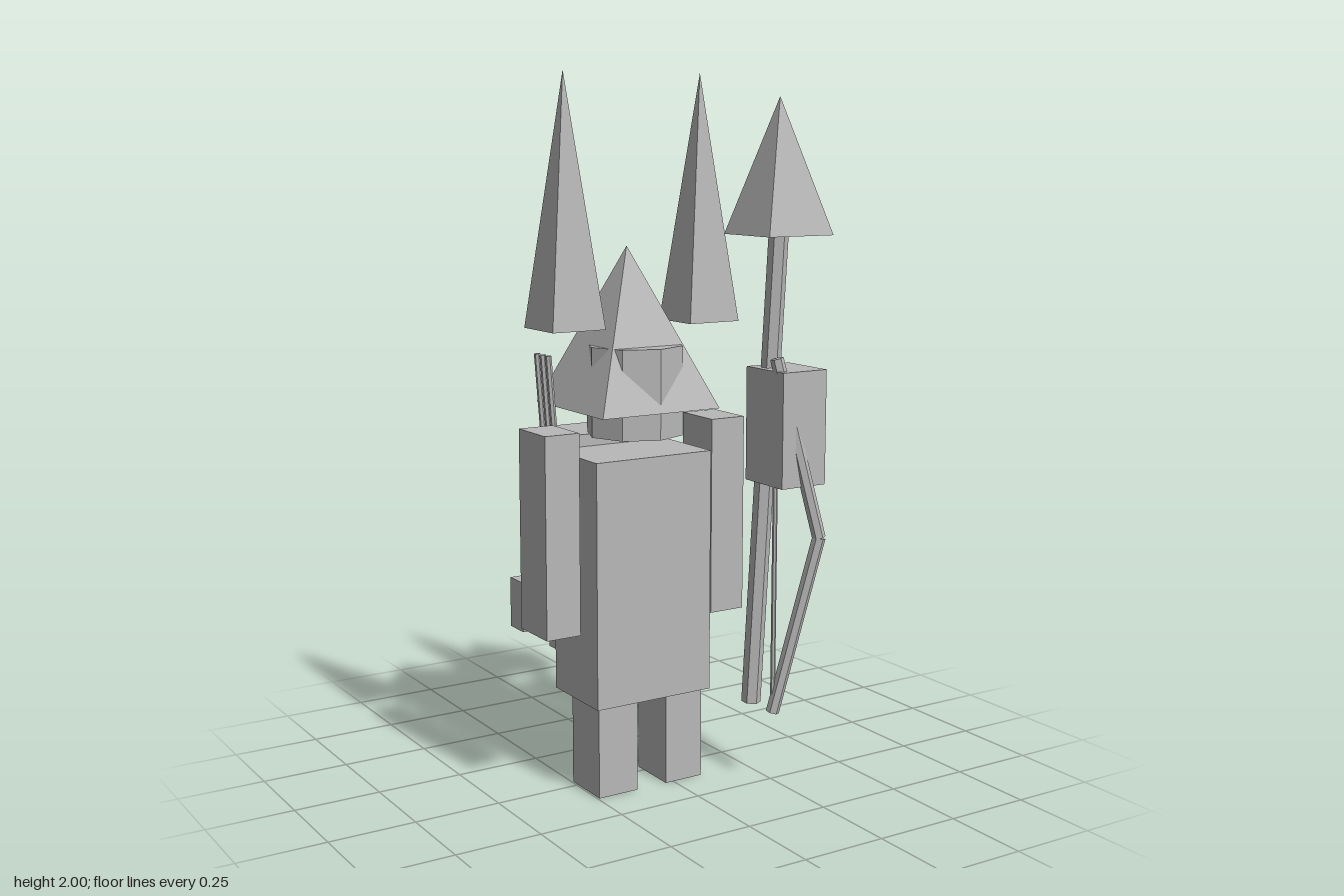
import * as THREE from 'three';

const stone = new THREE.MeshStandardMaterial({ color: 0xb8b8b8 });
stone.name = 'plain grey';

export function createModel() {
  const model = new THREE.Group();
  model.name = 'warrior';

  // Adds a mesh with hard facets
  function add(name, geometry) {
    const g = geometry.index ? geometry.toNonIndexed() : geometry;
    g.computeVertexNormals();
    const mesh = new THREE.Mesh(g, stone);
    mesh.name = name;
    model.add(mesh);
    return mesh;
  }

  // Box from its extents
  function box(name, x0, x1, y0, y1, z0, z1) {
    add(name, new THREE.BoxGeometry(x1 - x0, y1 - y0, z1 - z0))
      .position.set((x0 + x1) / 2, (y0 + y1) / 2, (z0 + z1) / 2);
  }

  // Square pyramid from its base centre, half width and height range
  function pyramid(name, x, z, half, y0, y1) {
    const g = new THREE.ConeGeometry(half * Math.SQRT2, y1 - y0, 4);
    g.rotateY(Math.PI / 4);
    add(name, g).position.set(x, (y0 + y1) / 2, z);
  }

  // Six-sided rod between two points
  function rod(name, from, to, radius) {
    const a = new THREE.Vector3(...from), b = new THREE.Vector3(...to);
    const dir = b.clone().sub(a);
    const mesh = add(name, new THREE.CylinderGeometry(radius, radius, dir.length(), 6));
    mesh.position.copy(a).add(b).multiplyScalar(0.5);
    mesh.quaternion.setFromUnitVectors(new THREE.Vector3(0, 1, 0), dir.normalize());
  }

  // Body and limbs
  box('torso', -0.26, 0.11, 0.265, 0.96, -0.1, 0.14);
  box('rightLeg', -0.245, -0.12, 0, 0.265, -0.03, 0.12);
  box('leftLeg', -0.025, 0.095, 0, 0.265, -0.03, 0.12);
  box('rightArm', -0.395, -0.29, 0.475, 1.04, -0.05, 0.1);
  box('leftArm', 0.14, 0.25, 0.475, 1.04, -0.05, 0.1);

  // Head and pointed hat
  add('head', new THREE.CylinderGeometry(0.137, 0.137, 0.25, 8)).position.set(-0.075, 1.135, 0.033);
  pyramid('hat', -0.075, -0.008, 0.187, 1.085, 1.53);

  // Tall spikes above the shoulders
  pyramid('rightShoulderSpike', -0.29, 0.025, 0.081, 1.315, 2);
  pyramid('leftShoulderSpike', 0.143, 0.025, 0.081, 1.315, 2);

  // Gear on the back
  box('backPlate', -0.245, 0.1, 0.37, 0.995, -0.165, -0.1);
  box('backpack', -0.245, 0.1, 0.73, 0.995, -0.28, -0.165);
  box('pouch', -0.27, -0.178, 0.385, 0.535, -0.36, -0.28);
  for (const z of [-0.075, -0.107, -0.14]) {
    rod('arrow', [-0.257, 0.83, z], [-0.288, 1.23, z], 0.009);
  }

  // Spear with a hand block around its shaft
  rod('spearShaft', [0.24, 0.21, 0.163], [0.288, 1.57, 0.205], 0.028);
  pyramid('spearHead', 0.287, 0.205, 0.108, 1.56, 1.935);
  box('handBlock', 0.23, 0.378, 0.865, 1.19, 0.14, 0.315);

  // Bow held beside the spear
  const tip = [0.238, 1.225, 0.272], grip = [0.343, 0.72, 0.338], foot = [0.238, 0.21, 0.272];
  rod('upperBowLimb', grip, tip, 0.019);
  rod('lowerBowLimb', foot, grip, 0.019);
  rod('bowString', foot, tip, 0.007);

  return model;
}
